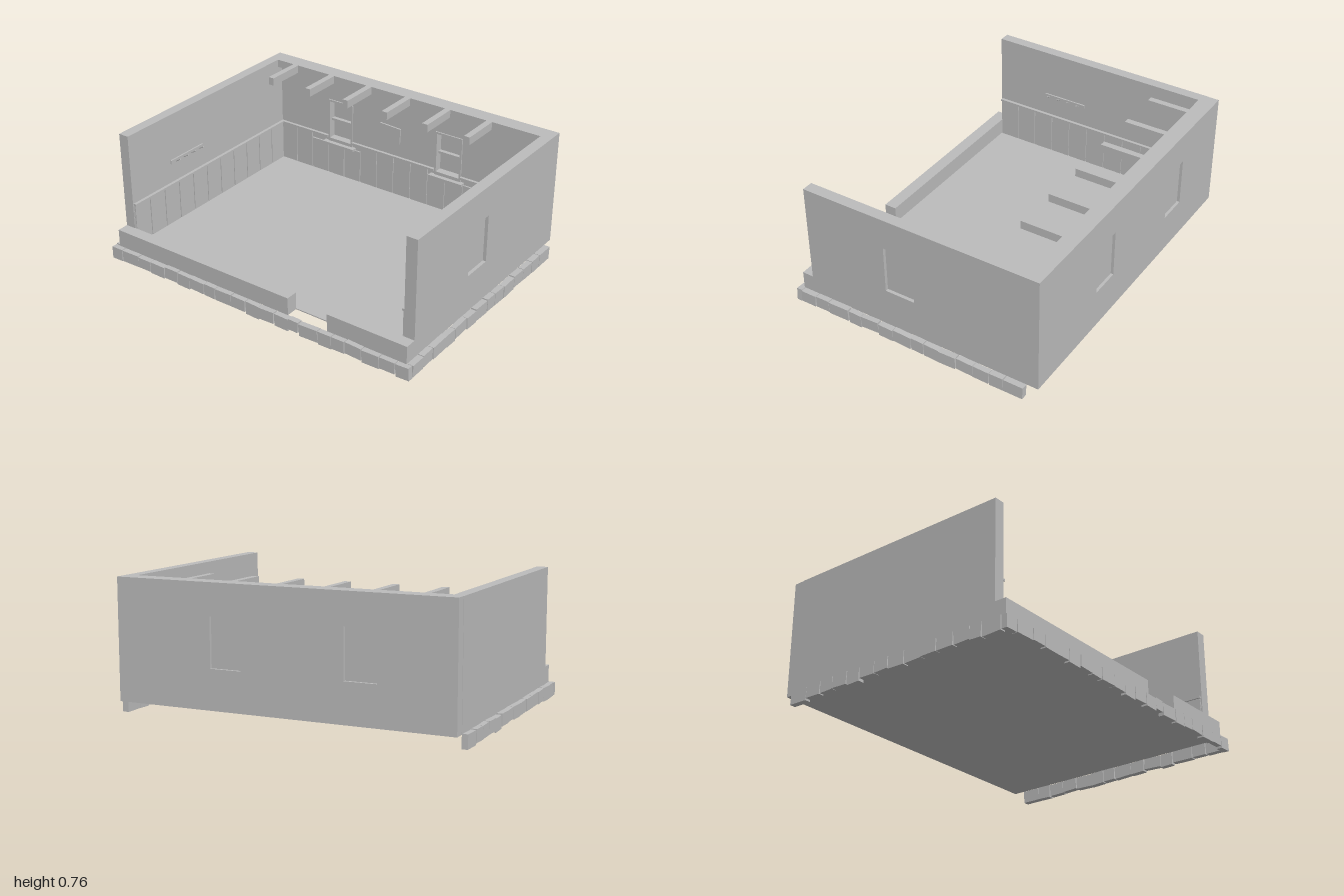
import * as THREE from 'three';

const grey = new THREE.MeshStandardMaterial({ color: 0xbcbcbc });
grey.name = 'plain grey';

// Small repeatable random source
let seed = 7;
const rnd = () => (seed = (seed * 16807) % 2147483647) / 2147483647;
const jitter = (a) => (rnd() - 0.5) * 2 * a;

function add(parent, name, geometry) {
  const mesh = new THREE.Mesh(geometry, grey);
  mesh.name = name;
  parent.add(mesh);
  return mesh;
}

// Box given by its minimum and maximum along each axis
function box(parent, name, x0, x1, y0, y1, z0, z1) {
  const mesh = add(parent, name, new THREE.BoxGeometry(x1 - x0, y1 - y0, z1 - z0));
  mesh.position.set((x0 + x1) / 2, (y0 + y1) / 2, (z0 + z1) / 2);
  return mesh;
}

const BASE = 0.082, TOP = 0.757, SILL = 0.305, HEAD = 0.58, RAIL = 0.335;
const WIN = 0.18;
const backWindows = [-0.455, 0.31];
const sideWindow = 0.075;

// Upright wall slab with window holes
function wallGeometry(u0, u1, depth, windows) {
  const shape = new THREE.Shape();
  shape.moveTo(u0, BASE).lineTo(u1, BASE).lineTo(u1, TOP).lineTo(u0, TOP).closePath();
  for (const c of windows) {
    const hole = new THREE.Path();
    hole.moveTo(c - WIN / 2, SILL).lineTo(c - WIN / 2, HEAD)
      .lineTo(c + WIN / 2, HEAD).lineTo(c + WIN / 2, SILL).closePath();
    shape.holes.push(hole);
  }
  return new THREE.ExtrudeGeometry(shape, { depth, bevelEnabled: false });
}

// Window in local space: inner wall face at z = 0, room on +z
function makeWindow() {
  const g = new THREE.Group();
  g.name = 'window';
  const h = WIN / 2, mid = (SILL + HEAD) / 2, bar = 0.012;
  box(g, 'pane', -h, h, SILL, HEAD, -0.046, -0.04);
  for (const s of [-1, 1]) {
    const x = s * (h - bar / 2);
    box(g, 'sashStile', x - bar / 2, x + bar / 2, SILL, HEAD, -0.04, 0.008);
  }
  box(g, 'sashHead', -h + bar, h - bar, HEAD - bar, HEAD, -0.04, 0.008);
  box(g, 'sashFoot', -h + bar, h - bar, SILL, SILL + 0.02, -0.04, 0.008);
  box(g, 'meetingRail', -h + bar, h - bar, mid - 0.007, mid + 0.007, -0.04, -0.015);
  box(g, 'sill', -h - 0.022, h + 0.022, SILL - 0.015, SILL, -0.005, 0.035);
  return g;
}

// Board panelling along local x with a cap rail, broken at the windows
function makePanelling(u0, u1, windows, count) {
  const g = new THREE.Group();
  g.name = 'panelling';
  const step = (u1 - u0) / count;
  box(g, 'panelBacking', u0, u1, BASE, 0.29, 0, 0.004);
  for (let i = 0; i < count; i++) {
    const a = u0 + i * step, b = a + step;
    const cut = windows.some((c) => a < c + WIN / 2 + 0.02 && b > c - WIN / 2 - 0.02);
    box(g, 'board', a + 0.003, b - 0.003, BASE, cut ? 0.29 : RAIL - 0.005, 0, 0.01);
  }
  let start = u0;
  for (const c of [...windows, null]) {
    const end = c === null ? u1 : c - WIN / 2;
    box(g, 'capRail', start, end, RAIL - 0.007, RAIL + 0.005, 0, 0.018);
    if (c !== null) start = c + WIN / 2;
  }
  return g;
}

// Row of uneven foundation stones; place() maps distance along the row to x, z
function stoneRow(parent, name, from, to, count, alongX, centre) {
  const step = (to - from) / count;
  let a = from;
  for (let i = 0; i < count; i++) {
    const b = i === count - 1 ? to : from + (i + 1) * step + jitter(step * 0.18);
    const h = 0.07 + jitter(0.005), w = b - a - 0.004, d = 0.034 + jitter(0.003);
    const geo = new THREE.BoxGeometry(alongX ? w : d, h, alongX ? d : w);
    // Nudge the four lower corners together to roughen the block
    const p = geo.attributes.position, dx = jitter(0.004), dy = jitter(0.004);
    for (let k = 0; k < p.count; k++) {
      if (p.getY(k) < 0) p.setXYZ(k, p.getX(k) + (alongX ? dx : 0), p.getY(k) + dy, p.getZ(k) + (alongX ? 0 : dx));
    }
    const stone = add(parent, name, geo);
    const m = (a + b) / 2, off = centre + jitter(0.002);
    stone.position.set(alongX ? m : off, 0.083 - h / 2 + jitter(0.003), alongX ? off : m);
    stone.rotation[alongX ? 'z' : 'x'] = jitter(0.05);
    a = b;
  }
}

export function createModel() {
  seed = 7;
  const room = new THREE.Group();
  room.name = 'cutawayRoom';

  // Floor and the three tall walls
  box(room, 'floor', -0.965, 0.965, BASE, BASE + 0.006, -0.757, 0.658);
  add(room, 'backWall', wallGeometry(-0.965, 0.965, 0.062, backWindows)).position.z = -0.757;
  const right = add(room, 'leftSideWall', wallGeometry(-0.695, 0.66, 0.065, [sideWindow]));
  right.rotation.y = -Math.PI / 2;
  right.position.x = 0.965;
  box(room, 'rightSideWall', -0.967, -0.905, BASE, TOP, -0.695, 0.66);

  // Low front wall with a doorway gap
  box(room, 'frontWall', -0.967, 0.23, BASE, 0.185, 0.656, 0.727);
  box(room, 'frontWall', 0.48, 0.965, BASE, 0.185, 0.656, 0.727);

  // Ceiling ledger and stub joists
  box(room, 'ledger', -0.905, 0.9, 0.71, TOP, -0.695, -0.66);
  for (let i = 0; i < 6; i++) {
    const x = -0.769 + i * 0.27;
    box(room, 'joist', x - 0.018, x + 0.018, 0.71, TOP, -0.66, -0.42);
  }

  // Windows
  for (const x of backWindows) {
    const w = makeWindow();
    w.position.set(x, 0, -0.695);
    room.add(w);
  }
  const side = makeWindow();
  side.rotation.y = -Math.PI / 2;
  side.position.set(0.9, 0, sideWindow);
  room.add(side);

  // Panelling on the three inner faces
  const backPanels = makePanelling(-0.905, 0.9, backWindows, 15);
  backPanels.position.z = -0.695;
  const leftPanels = makePanelling(-0.69, 0.655, [sideWindow], 11);
  leftPanels.rotation.y = -Math.PI / 2;
  leftPanels.position.x = 0.9;
  const rightPanels = makePanelling(-0.655, 0.69, [], 11);
  rightPanels.rotation.y = Math.PI / 2;
  rightPanels.position.x = -0.905;
  room.add(backPanels, leftPanels, rightPanels);

  // Crooked picture on the back wall
  const picture = box(room, 'picture', -0.165, -0.022, 0.43, 0.527, -0.695, -0.685);
  picture.rotation.z = -0.05;

  // Coat rack with slanted pegs
  box(room, 'coatRack', -0.905, -0.896, 0.458, 0.48, 0.07, 0.34);
  for (let i = 0; i < 4; i++) {
    const peg = add(room, 'peg', new THREE.CylinderGeometry(0.003, 0.003, 0.04, 8));
    peg.rotation.z = -1.0;
    peg.position.set(-0.878, 0.476, 0.105 + i * 0.066);
  }

  // Foundation stones on the front and both sides
  stoneRow(room, 'frontStone', -0.998, 0.998, 21, true, 0.741);
  stoneRow(room, 'leftStone', -0.69, 0.722, 14, false, 0.981);
  stoneRow(room, 'rightStone', -0.69, 0.722, 14, false, -0.981);
  return room;
}
